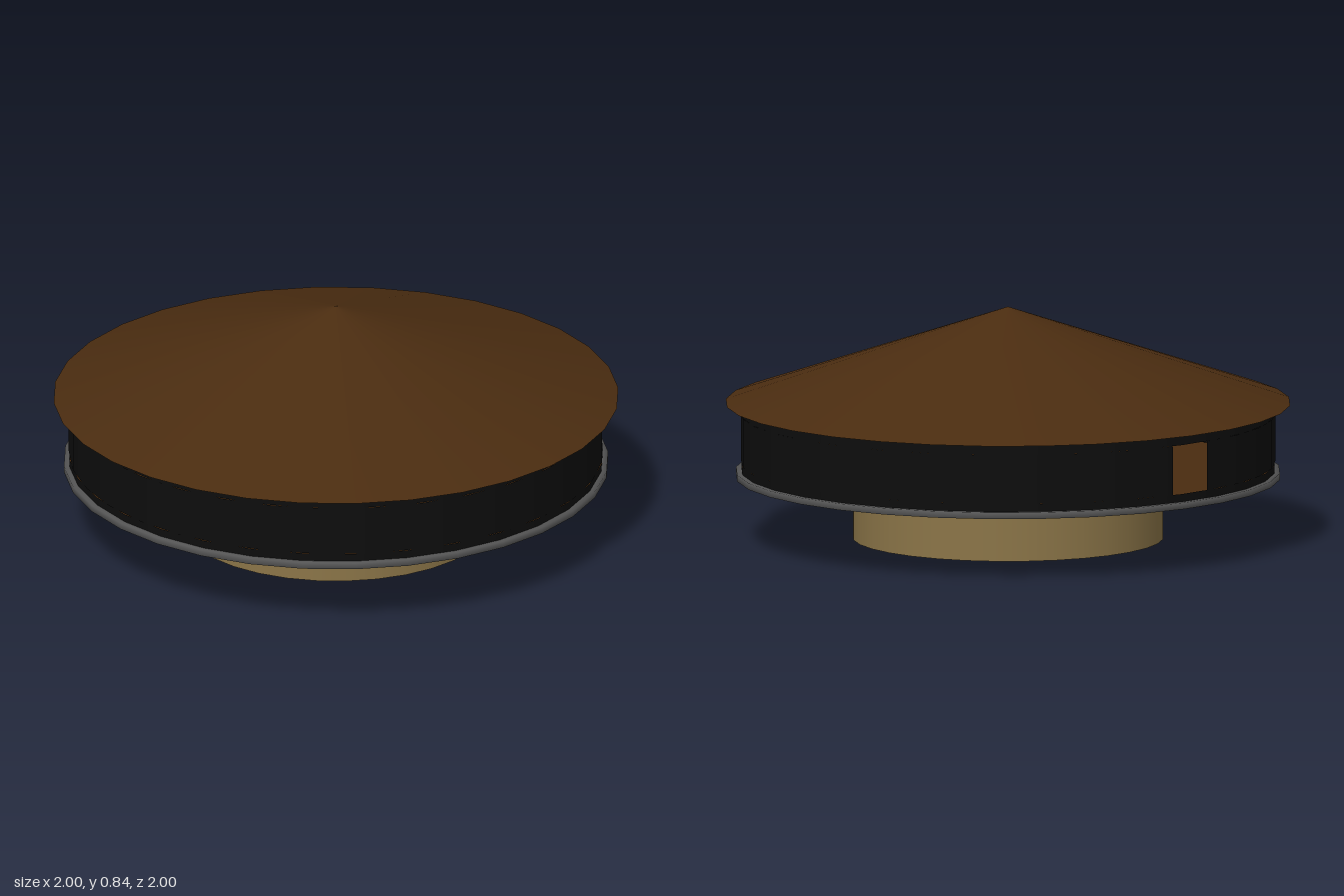
import * as THREE from 'three';

const SIDES = 32;
const material = (color) => new THREE.MeshStandardMaterial({ color, side: THREE.DoubleSide });

export function createModel() {
  const model = new THREE.Group();
  const wood = material(0x4a2c10);
  const black = material(0x0d0d0d);
  const tan = material(0x8b7548);
  const grey = material(0x555555);

  const add = (name, geometry, mat, y = 0) => {
    const mesh = new THREE.Mesh(geometry, mat);
    mesh.name = name;
    mesh.position.y = y;
    model.add(mesh);
  };

  // Open tube between two heights, optionally only part of the circle
  const tube = (name, radius, bottom, top, mat, start = 0, length = Math.PI * 2) =>
    add(name, new THREE.CylinderGeometry(radius, radius, top - bottom, SIDES, 1, true, start, length),
      mat, (bottom + top) / 2);

  // Shallow conical roof with a closed underside
  add('roof', new THREE.ConeGeometry(1, 0.342, SIDES), wood, 0.495 + 0.171);

  // Dark drum wall with one small opening at the back
  const openFrom = Math.PI - 0.043, openTo = Math.PI + 0.131;
  tube('wallTop', 0.945, 0.455, 0.495, black);
  tube('wallMiddle', 0.945, 0.28, 0.455, black, openTo, Math.PI * 2 - (openTo - openFrom));
  tube('wallBottom', 0.945, 0.25, 0.28, black);

  // Floor disc and the metal rim around it
  add('floor', new THREE.CylinderGeometry(0.955, 0.955, 0.018, SIDES), wood, 0.24);
  const rimProfile = [[0.955, 0.229], [0.964, 0.229], [0.964, 0.252], [0.945, 0.252]]
    .map(([r, y]) => new THREE.Vector2(r, y));
  add('rim', new THREE.LatheGeometry(rimProfile, SIDES), grey);

  // Two concentric open tubes below the floor
  tube('outerTube', 0.55, 0.012, 0.231, tan);
  tube('innerTube', 0.45, 0, 0.231, tan);

  return model;
}
